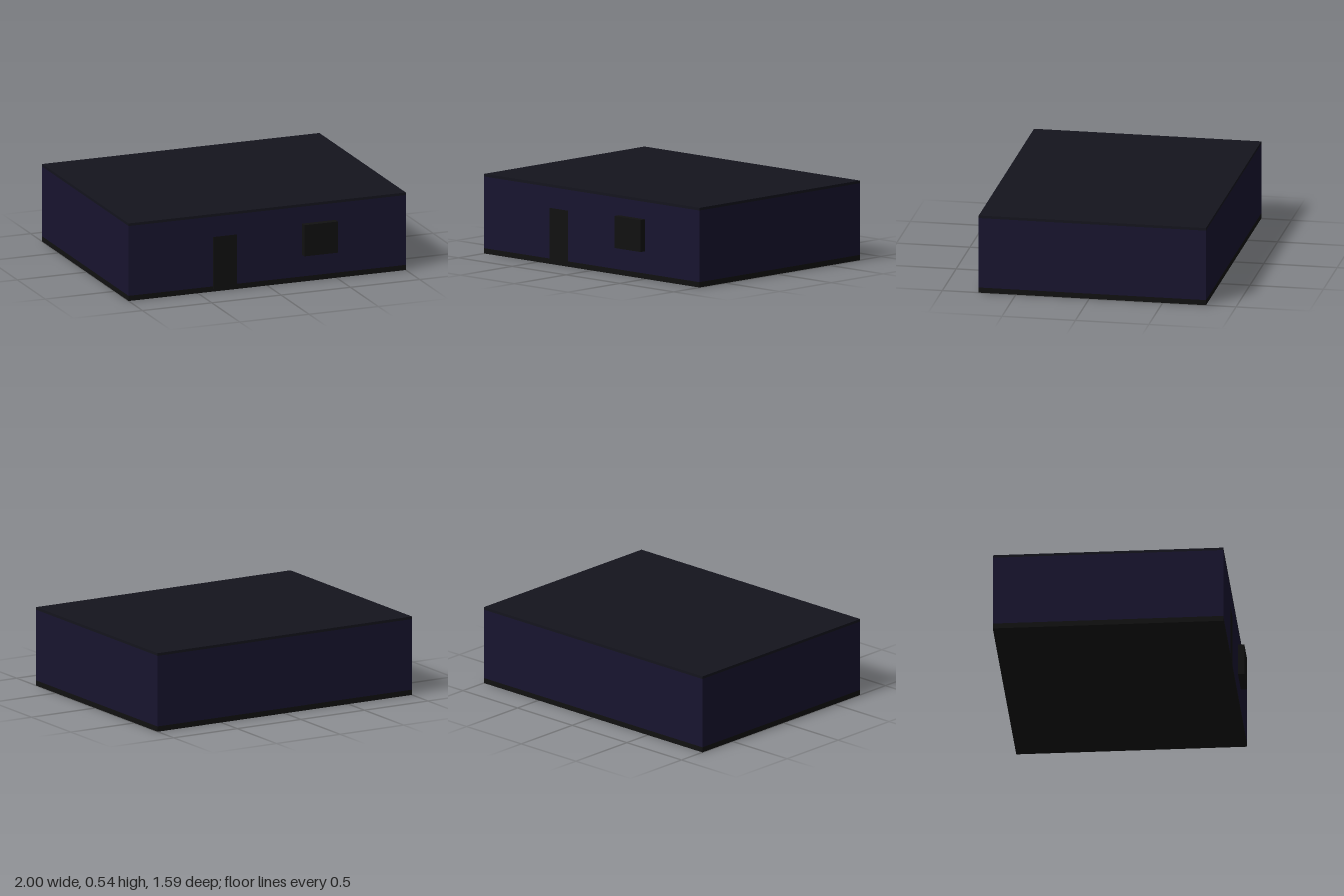
import * as THREE from 'three';

const material = (color) => new THREE.MeshStandardMaterial({ color });

export function createModel() {
  const house = new THREE.Group();
  house.name = 'flatRoofHouse';

  const wallMat = material(0x18142f);
  const roofMat = material(0x14141d);
  const trimMat = material(0x111111);

  // Box given by its lower and upper corners
  const block = (name, [x0, y0, z0], [x1, y1, z1], mat) => {
    const mesh = new THREE.Mesh(new THREE.BoxGeometry(x1 - x0, y1 - y0, z1 - z0), mat);
    mesh.position.set((x0 + x1) / 2, (y0 + y1) / 2, (z0 + z1) / 2);
    mesh.name = name;
    house.add(mesh);
  };

  const back = -0.795, front = 0.752, floorTop = 0.036, wallTop = 0.522, t = 0.04;

  // Floor and roof slabs
  block('floor', [-1, 0, back], [1, floorTop, front], trimMat);
  block('roof', [-1, wallTop, back], [1, 0.54, front], roofMat);

  // Four walls between the slabs
  block('frontWall', [-1, floorTop, front - t], [1, wallTop, front], wallMat);
  block('backWall', [-1, floorTop, back], [1, wallTop, back + t], wallMat);
  block('leftWall', [1 - t, floorTop, back + t], [1, wallTop, front - t], wallMat);
  block('rightWall', [-1, floorTop, back + t], [t - 1, wallTop, front - t], wallMat);

  // Door almost flush with the front, window box standing proud of it
  block('door', [-0.39, 0.02, front - 0.03], [-0.22, 0.38, front + 0.002], trimMat);
  block('window', [0.25, 0.187, front - 0.03], [0.493, 0.404, 0.795], trimMat);

  return house;
}
